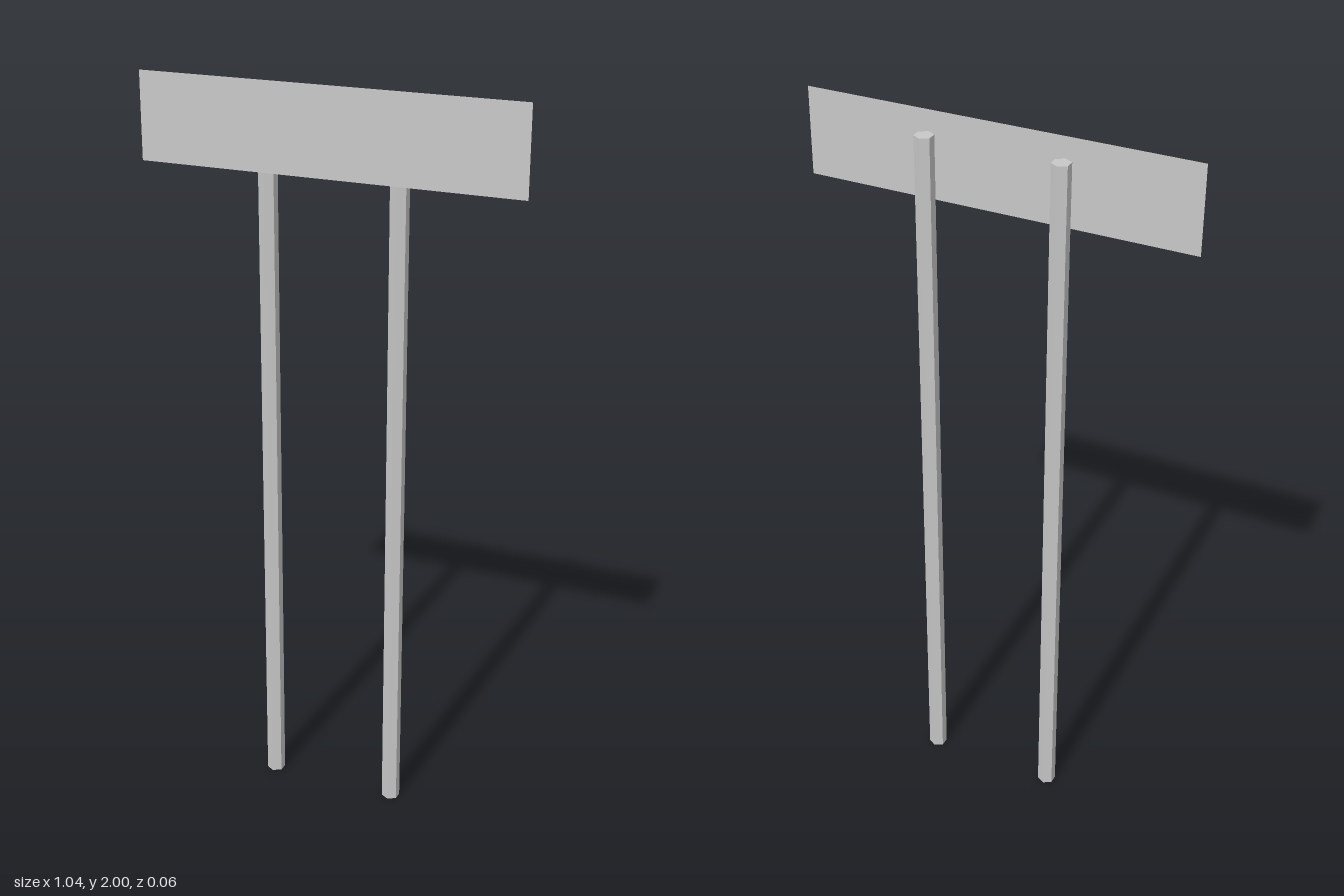
import * as THREE from 'three';

export function createModel() {
  const model = new THREE.Group();
  model.name = 'signpost';

  const grey = new THREE.MeshStandardMaterial({ color: 0xc8c8c8, flatShading: true, side: THREE.DoubleSide });
  grey.name = 'light grey';

  // Two hexagonal posts, set just behind the panel
  const height = 1.95;
  const postGeometry = new THREE.CylinderGeometry(0.025, 0.025, height, 6);
  for (const [name, x] of [['leftPost', 0.18], ['rightPost', -0.18]]) {
    const post = new THREE.Mesh(postGeometry, grey);
    post.name = name;
    post.position.set(x, height / 2, -0.006);
    model.add(post);
  }

  // Flat sign panel in front of the posts
  const bottom = 1.768, top = 2;
  const panel = new THREE.Mesh(new THREE.PlaneGeometry(1.042, top - bottom), grey);
  panel.name = 'signPanel';
  panel.position.set(0, (top + bottom) / 2, 0.031);
  model.add(panel);

  return model;
}
